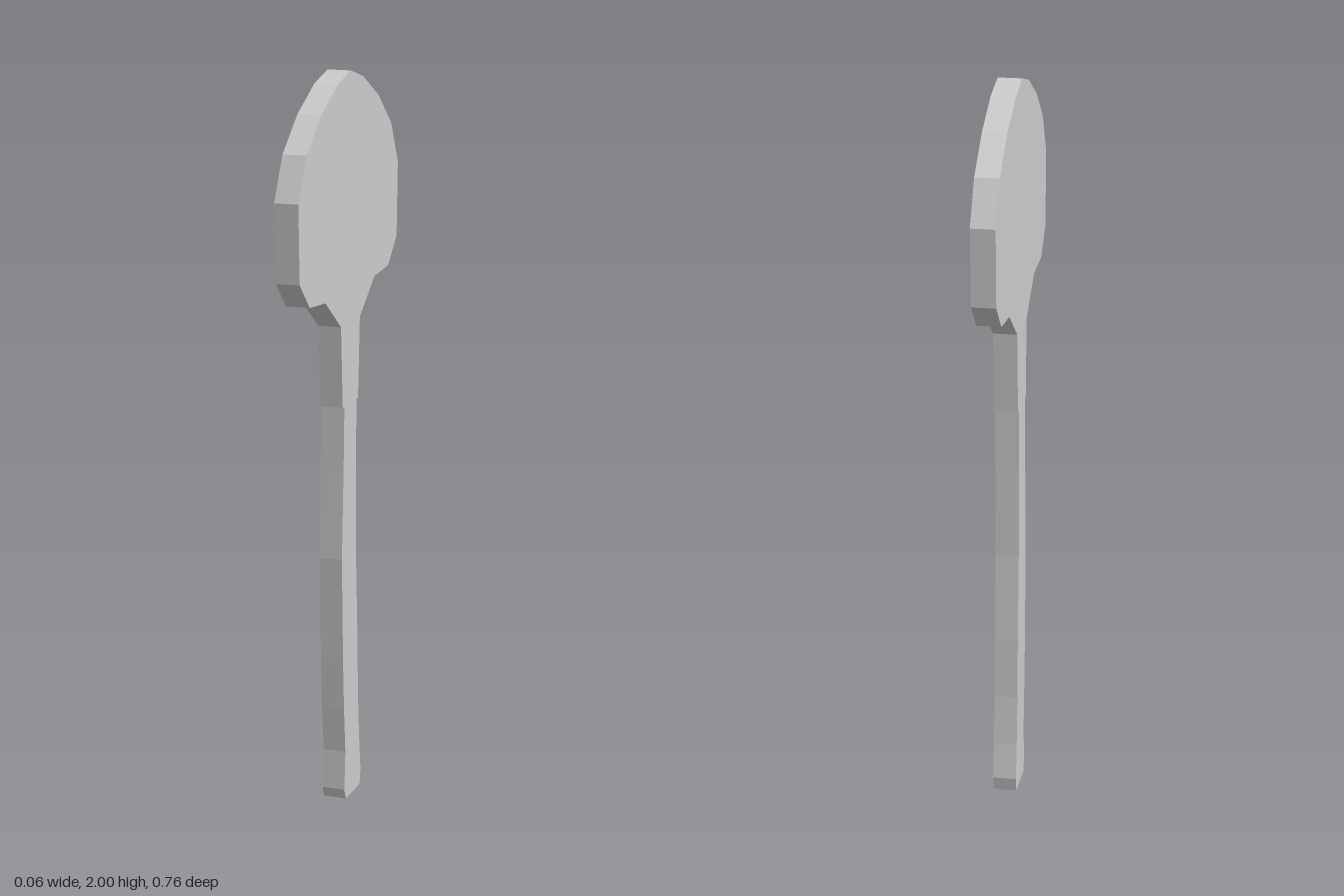
import * as THREE from 'three';

const THICKNESS = 0.064;

// Extrude a flat [z, y] outline evenly to both sides of x = 0
function plate(name, outline, material) {
  const shape = new THREE.Shape(outline.map(([z, y]) => new THREE.Vector2(-z, y)));
  const geometry = new THREE.ExtrudeGeometry(shape, { depth: THICKNESS, bevelEnabled: false });
  geometry.translate(0, 0, -THICKNESS / 2);
  geometry.rotateY(Math.PI / 2);
  const mesh = new THREE.Mesh(geometry, material);
  mesh.name = name;
  return mesh;
}

export function createModel() {
  const grey = new THREE.MeshStandardMaterial({ color: 0xcccccc });
  grey.name = 'plain grey';

  // Head and socket: one half outline, mirrored front to back
  const half = [
    [0.06, 1.12], [0.073, 1.34], [0.19, 1.427], [0.303, 1.437], [0.373, 1.508],
    [0.38, 1.712], [0.322, 1.825], [0.217, 1.912], [0.096, 1.975],
  ];
  const mirrored = half.map(([z, y]) => [-z, y]).reverse();
  const head = [...half, [0, 2], ...mirrored];

  // Handle: gently curved grip with a flared foot
  const handle = [
    [0.047, 1.12], [0.053, 0.95], [0.066, 0.7], [0.057, 0.41], [0.049, 0.27], [0.038, 0.14],
    [0.045, 0.03], [0.034, 0], [-0.079, 0], [-0.087, 0.04], [-0.074, 0.14],
    [-0.064, 0.28], [-0.058, 0.46], [-0.045, 0.7], [-0.045, 0.95], [-0.047, 1.12],
  ];

  const group = new THREE.Group();
  group.name = 'broadHeadedTool';
  group.add(plate('head', head, grey), plate('handle', handle, grey));
  return group;
}
